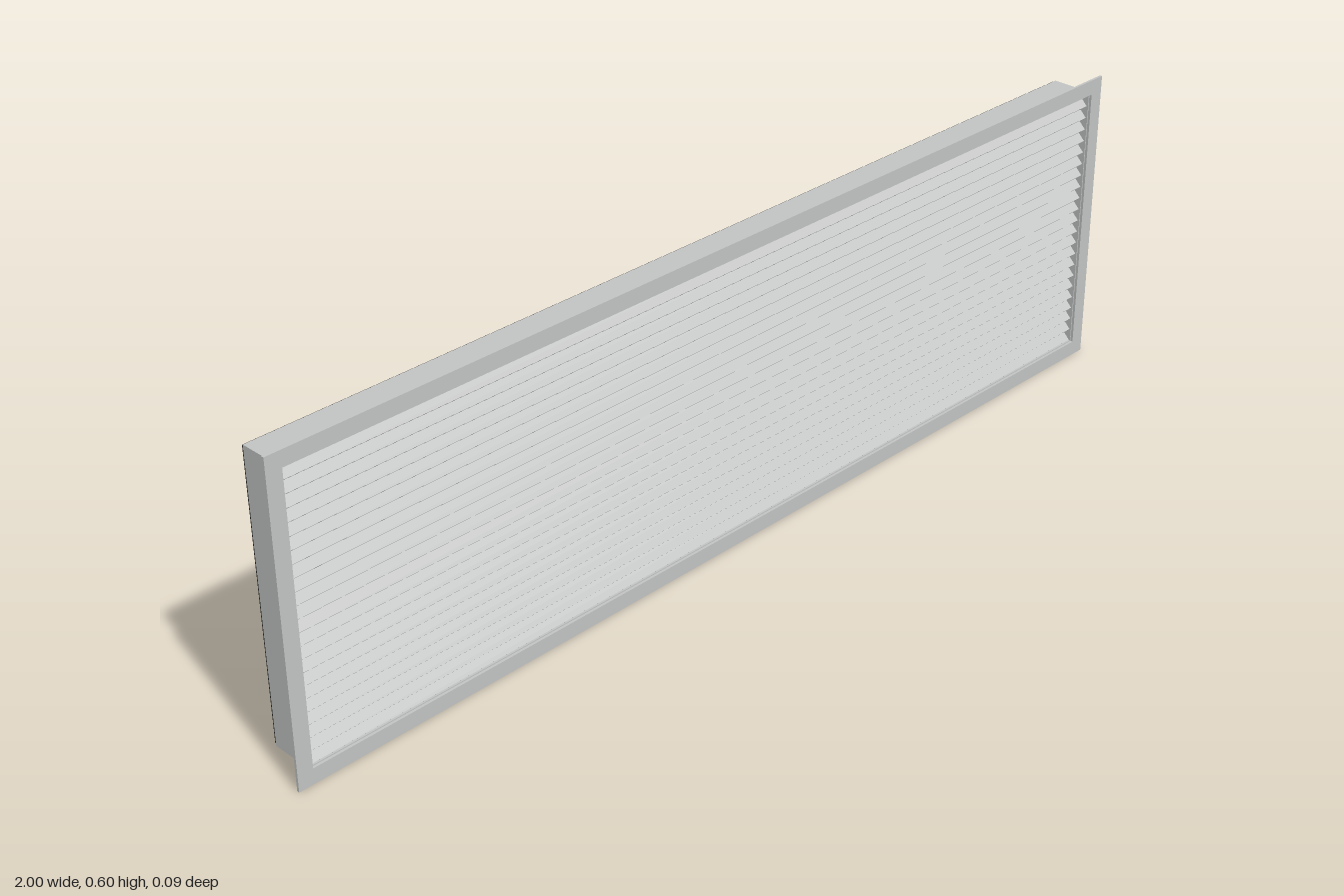
import * as THREE from 'three';

// Rectangular ring extruded along z
function ring(w, h, iw, ih, depth) {
  const rect = (P, a, b) => new P([
    new THREE.Vector2(-a / 2, -b / 2), new THREE.Vector2(a / 2, -b / 2),
    new THREE.Vector2(a / 2, b / 2), new THREE.Vector2(-a / 2, b / 2),
  ]);
  const shape = rect(THREE.Shape, w, h);
  shape.holes.push(rect(THREE.Path, iw, ih));
  return new THREE.ExtrudeGeometry(shape, { depth, bevelEnabled: false });
}

export function createModel() {
  const group = new THREE.Group();
  const metal = new THREE.MeshStandardMaterial({ name: 'grey metal', color: 0xc2c4c3 });
  const dark = new THREE.MeshStandardMaterial({ name: 'dark mesh', color: 0x2d2d2d });
  const midY = 0.301;

  function add(name, geometry, material, y, z, parent = group) {
    const mesh = new THREE.Mesh(geometry, material);
    mesh.name = name;
    mesh.position.set(0, y, z);
    parent.add(mesh);
    return mesh;
  }

  // Front flange and the duct collar behind it
  add('frontFlange', ring(2, 0.602, 1.94, 0.542, 0.005), metal, midY, 0.043);
  add('collar', ring(1.946, 0.548, 1.936, 0.538, 0.085), metal, midY, -0.042);

  // Backing screen, set just off the collar
  add('backScreen', new THREE.BoxGeometry(1.942, 0.542, 0.003), dark, midY, -0.0455);

  // Louvre blades sloping down towards the front
  const blades = new THREE.Group();
  blades.name = 'louvreBlades';
  group.add(blades);
  const count = 22, pitch = 0.538 / count;
  const bladeGeometry = new THREE.BoxGeometry(1.936, 0.003, 0.036);
  for (let i = 0; i < count; i++) {
    const blade = add('blade', bladeGeometry, metal, 0.032 + pitch * (i + 0.5), 0.026, blades);
    blade.rotation.x = Math.PI / 4;
  }
  return group;
}
